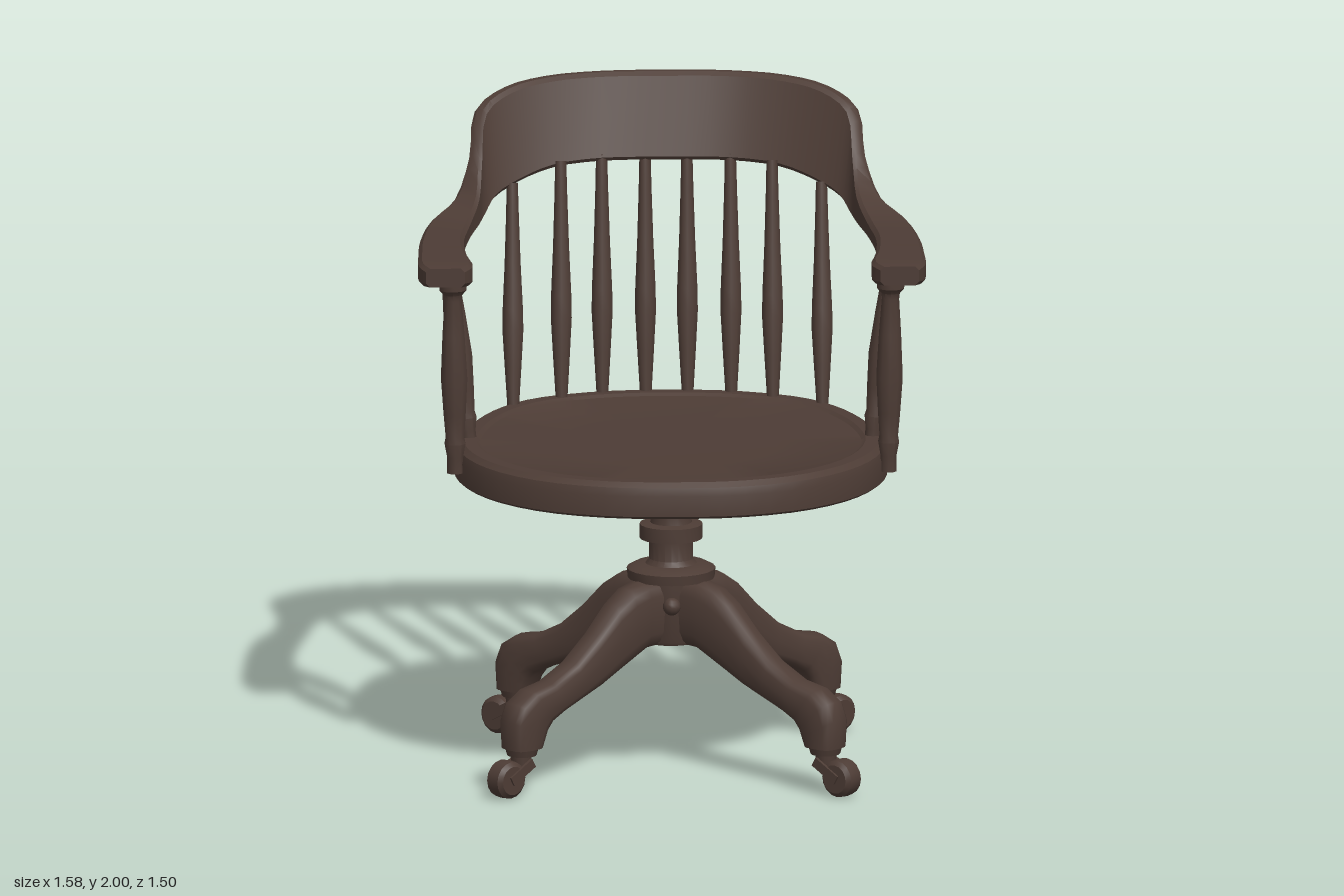
import * as THREE from 'three';
import { toCreasedNormals } from 'three/addons/utils/BufferGeometryUtils.js';

const wood = new THREE.MeshStandardMaterial({ color: 0x4d3c35 });
wood.name = 'dark wood';
const V = (x, y, z) => new THREE.Vector3(x, y, z);

function add(parent, name, geometry) {
  const mesh = new THREE.Mesh(geometry, wood);
  mesh.name = name;
  parent.add(mesh);
  return mesh;
}

// Skin a list of equal-length rings and cap both ends
function loft(rings, crease = 0.6) {
  const n = rings[0].length, pos = [];
  const tri = (a, b, c) => pos.push([a, b, c]);
  for (let i = 0; i < rings.length - 1; i++)
    for (let j = 0; j < n; j++) {
      const k = (j + 1) % n, a = rings[i], b = rings[i + 1];
      tri(a[j], a[k], b[k]);
      tri(a[j], b[k], b[j]);
    }
  for (const [ring, flip] of [[rings[0], true], [rings[rings.length - 1], false]]) {
    const c = ring.reduce((s, p) => s.add(p), V(0, 0, 0)).divideScalar(n);
    for (let j = 0; j < n; j++) {
      const p = ring[j], q = ring[(j + 1) % n];
      flip ? tri(c, q, p) : tri(c, p, q);
    }
  }
  // Turn the faces outward if the rings ran the other way
  const volume = pos.reduce((s, [a, b, c]) => s + a.dot(V(0, 0, 0).crossVectors(b, c)), 0);
  const points = pos.flatMap(([a, b, c]) => (volume < 0 ? [a, c, b] : [a, b, c]));
  return toCreasedNormals(new THREE.BufferGeometry().setFromPoints(points), crease);
}

// Turned profile, [radius, height] from bottom to top
function turned(profile, sides = 20) {
  const geo = new THREE.LatheGeometry(profile.map(([r, y]) => new THREE.Vector2(r, y)), sides);
  return toCreasedNormals(geo, 0.7);
}

// Stand a turned part between two points; profile heights are 0..1
function spindle(parent, name, from, to, profile) {
  const dir = to.clone().sub(from), length = dir.length();
  const mesh = add(parent, name, turned(profile.map(([r, t]) => [r, t * length]), 10));
  mesh.position.copy(from);
  mesh.quaternion.setFromUnitVectors(V(0, 1, 0), dir.normalize());
}

function seat() {
  const half = [[0, 0.75], [0.2, 0.735], [0.4, 0.655], [0.55, 0.515], [0.64, 0.34], [0.672, 0.15],
    [0.655, 0], [0.615, -0.15], [0.54, -0.31], [0.43, -0.435], [0.23, -0.525], [0, -0.55]];
  const outline = [...half, ...half.slice(1, -1).reverse().map(([x, z]) => [-x, z])];
  const curve = new THREE.CatmullRomCurve3(outline.map(([x, z]) => V(x, 0, z)), true);
  const edge = curve.getPoints(60).slice(0, -1);
  // [inset scale, height]: flat underside, rounded rim, shallow dish
  const section = [[0.985, 0.917], [1, 0.925], [1, 0.99], [0.988, 1.015], [0.96, 1.03],
    [0.9, 1.03], [0.88, 1.022], [0.5, 1.012]];
  return loft(section.map(([s, y]) => edge.map(p => V(p.x * s, y, 0.1 + (p.z - 0.1) * s))), 0.5);
}

// Back and arms in one rail; corners: inner top, outer top, outer bottom, inner bottom
function rail() {
  const stations = [
    [[0, 2, -0.705], [0, 2, -0.75], [0, 1.74, -0.655], [0, 1.74, -0.61]],
    [[0.2, 2, -0.695], [0.2, 2, -0.738], [0.2, 1.74, -0.645], [0.2, 1.74, -0.6]],
    [[0.36, 1.995, -0.65], [0.38, 1.995, -0.692], [0.36, 1.73, -0.6], [0.35, 1.73, -0.555]],
    [[0.48, 1.975, -0.59], [0.51, 1.975, -0.625], [0.48, 1.7, -0.53], [0.455, 1.7, -0.495]],
    [[0.56, 1.925, -0.52], [0.597, 1.925, -0.55], [0.56, 1.66, -0.455], [0.53, 1.665, -0.43]],
    [[0.575, 1.8, -0.43], [0.615, 1.8, -0.45], [0.61, 1.62, -0.385], [0.565, 1.62, -0.37]],
    [[0.585, 1.7, -0.32], [0.66, 1.69, -0.36], [0.665, 1.595, -0.35], [0.585, 1.6, -0.31]],
    [[0.615, 1.65, -0.2], [0.735, 1.65, -0.24], [0.735, 1.585, -0.24], [0.615, 1.585, -0.2]],
    [[0.64, 1.643, 0], [0.775, 1.643, 0], [0.775, 1.577, 0], [0.64, 1.577, 0]],
    [[0.635, 1.645, 0.2], [0.785, 1.645, 0.2], [0.785, 1.575, 0.2], [0.635, 1.575, 0.2]],
    [[0.62, 1.645, 0.36], [0.785, 1.645, 0.36], [0.785, 1.575, 0.36], [0.62, 1.575, 0.36]],
    [[0.645, 1.64, 0.41], [0.765, 1.64, 0.41], [0.765, 1.58, 0.41], [0.645, 1.58, 0.41]],
  ];
  const all = [...stations.slice(1).reverse().map(s => s.map(([x, y, z]) => [-x, y, z])), ...stations];
  const corners = [0, 1, 2, 3].map(c => new THREE.CatmullRomCurve3(all.map(s => V(...s[c]))));
  const rings = [];
  for (let i = 0; i <= 66; i++) {
    const p = corners.map(c => c.getPoint(i / 66));
    // Bevel each corner by a fixed length
    rings.push(p.flatMap((q, c) => [p[(c + 3) % 4], p[(c + 1) % 4]].map(
      r => q.clone().add(r.clone().sub(q).setLength(0.012)))));
  }
  return loft(rings, 0.5);
}

// Leg runs outward along +x: [top d, top y, bottom d, bottom y, half width]
function legGeometry() {
  const stations = [[0.03, 0.61, 0.03, 0.4, 0.06], [0.13, 0.605, 0.13, 0.395, 0.06],
    [0.19, 0.59, 0.18, 0.37, 0.058], [0.25, 0.55, 0.24, 0.34, 0.054], [0.33, 0.47, 0.31, 0.305, 0.05],
    [0.42, 0.395, 0.39, 0.275, 0.05], [0.52, 0.345, 0.47, 0.245, 0.052], [0.6, 0.33, 0.52, 0.22, 0.056],
    [0.655, 0.295, 0.54, 0.195, 0.058], [0.677, 0.24, 0.55, 0.17, 0.058], [0.672, 0.15, 0.56, 0.15, 0.055]];
  const soft = v => Math.sign(v) * Math.abs(v) ** 0.6;
  return loft(stations.map(([td, ty, bd, by, w]) => {
    const ring = [];
    for (let j = 0; j < 16; j++) {
      const a = (j / 16) * Math.PI * 2, m = (soft(Math.cos(a)) + 1) / 2;
      ring.push(V(bd + (td - bd) * m, by + (ty - by) * m, w * soft(Math.sin(a))));
    }
    return ring;
  }), 0.8);
}

export function createModel() {
  const chair = new THREE.Group();
  chair.name = 'swivel armchair';
  add(chair, 'seat', seat());
  add(chair, 'backAndArmRail', rail());

  // Back spindles and arm posts
  const slim = [[0.018, 0], [0.02, 0.05], [0.027, 0.2], [0.034, 0.36], [0.033, 0.45], [0.026, 0.65],
    [0.021, 0.85], [0.018, 1]];
  const stout = [[0, 0], [0.027, 0], [0.026, 0.08], [0.034, 0.15], [0.03, 0.18], [0.036, 0.3], [0.043, 0.48],
    [0.036, 0.7], [0.028, 0.88], [0.03, 0.91], [0.044, 0.935], [0.044, 1]];
  const backs = [[0.065, -0.52, 1.76, -0.64], [0.2, -0.5, 1.76, -0.625],
    [0.328, -0.435, 1.75, -0.57], [0.48, -0.34, 1.7, -0.49]];
  for (const side of [1, -1]) {
    for (const [x, z, topY, topZ] of backs)
      spindle(chair, 'backSpindle', V(side * x, 1, z), V(side * x, topY, topZ), slim);
    spindle(chair, 'frontArmPost', V(side * 0.672, 0.96, 0.285), V(side * 0.68, 1.585, 0.285), stout);
    spindle(chair, 'rearArmPost', V(side * 0.625, 1.0, 0.095), V(side * 0.69, 1.585, 0.04), stout);
  }

  // Swivel base
  const base = new THREE.Group();
  base.name = 'swivelBase';
  base.position.z = 0.175;
  chair.add(base);
  add(base, 'column', turned([[0, 0.6], [0.135, 0.6], [0.138, 0.63], [0.115, 0.642], [0.08, 0.645],
    [0.068, 0.66], [0.068, 0.72], [0.098, 0.725], [0.098, 0.77], [0.065, 0.775], [0.058, 0.81],
    [0.065, 0.85], [0.09, 0.895], [0.14, 0.903], [0.14, 0.925], [0, 0.925]]));
  add(base, 'hub', turned([[0, 0.4], [0.095, 0.4], [0.1, 0.41], [0.1, 0.61], [0, 0.61]]));
  for (const side of [1, -1]) {
    const knob = add(base, 'hubPin', new THREE.SphereGeometry(0.028, 12, 8));
    knob.position.set(0, 0.527, side * 0.1);
  }

  // Four legs with casters
  const leg = legGeometry();
  const wheelGeo = turned([[0, -0.036], [0.045, -0.036], [0.058, -0.024], [0.06, 0], [0.058, 0.024],
    [0.045, 0.036], [0, 0.036]], 16).rotateX(Math.PI / 2);
  for (const sx of [1, -1])
    for (const sz of [1, -1]) {
      const limb = new THREE.Group();
      limb.name = 'legWithCaster';
      limb.rotation.y = -Math.atan2(sz * 0.44, sx * 0.52);
      base.add(limb);
      add(limb, 'leg', leg);
      const socket = add(limb, 'casterSocket', new THREE.CylinderGeometry(0.053, 0.046, 0.025, 14));
      socket.position.set(0.617, 0.14, 0);
      const stem = add(limb, 'casterStem', new THREE.CylinderGeometry(0.034, 0.03, 0.05, 12));
      stem.position.set(0.62, 0.107, 0);
      add(limb, 'casterWheel', wheelGeo).position.set(0.682, 0.06, 0);
      for (const side of [1, -1]) {
        const fork = add(limb, 'casterFork', new THREE.BoxGeometry(0.1, 0.03, 0.01));
        fork.position.set(0.648, 0.083, side * 0.038);
        fork.rotation.z = -0.5;
      }
    }
  return chair;
}
